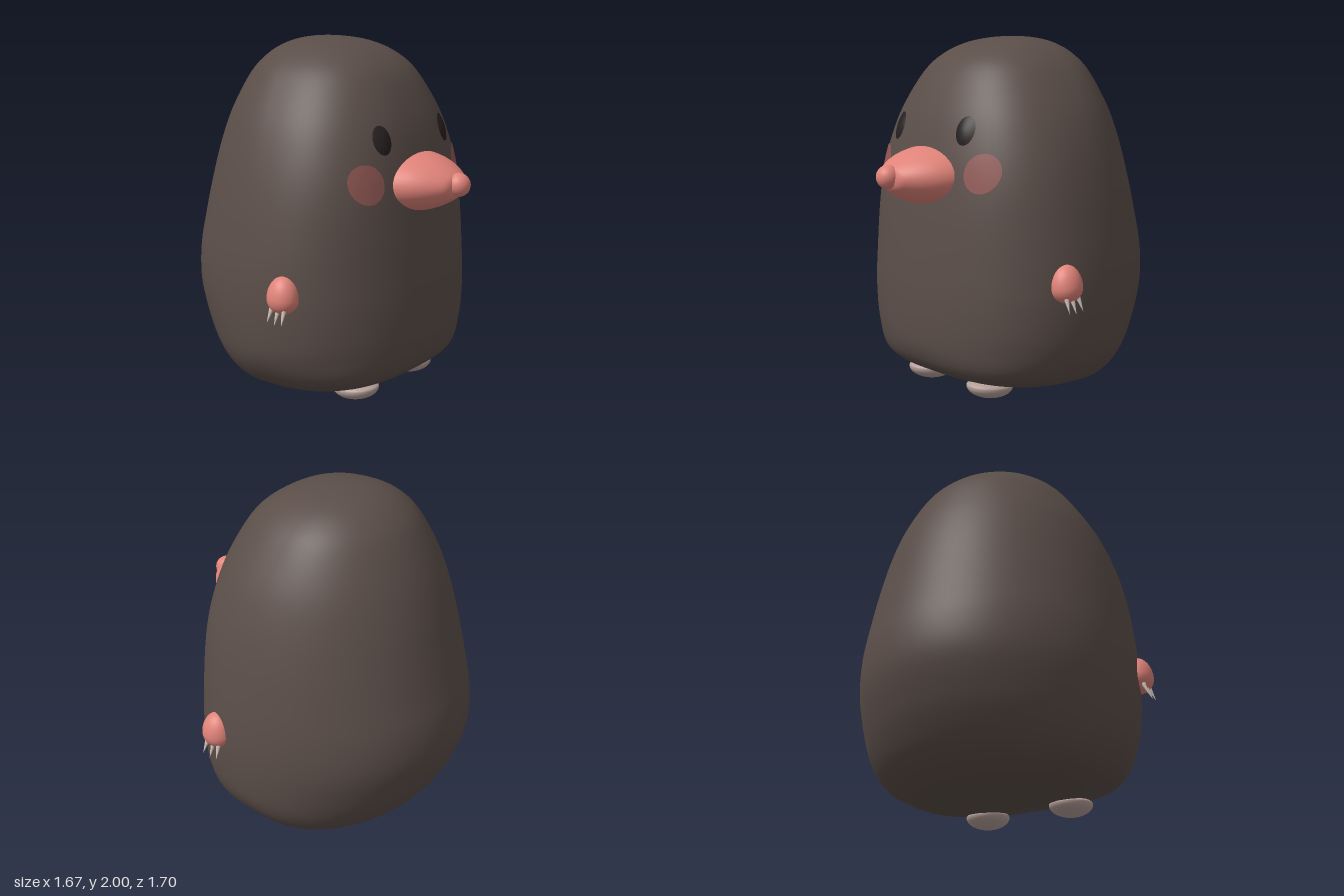
import * as THREE from 'three';

const mat = (name, color) => {
  const m = new THREE.MeshStandardMaterial({ color });
  m.name = name;
  return m;
};

// Body levels from crown to base: height, half width, front z, back z
const LEVELS = [
  [2.0, 0, -0.1, -0.1],
  [1.99, 0.135, 0.04, -0.23],
  [1.96, 0.255, 0.165, -0.33],
  [1.9, 0.365, 0.285, -0.425],
  [1.8, 0.467, 0.385, -0.515],
  [1.6, 0.59, 0.487, -0.622],
  [1.4, 0.668, 0.547, -0.697],
  [1.2, 0.72, 0.583, -0.752],
  [1.0, 0.755, 0.61, -0.8],
  [0.8, 0.78, 0.63, -0.843],
  [0.6, 0.787, 0.643, -0.841],
  [0.4, 0.77, 0.64, -0.77],
  [0.28, 0.738, 0.622, -0.703],
  [0.18, 0.675, 0.565, -0.628],
  [0.11, 0.6, 0.44, -0.54],
  [0.062, 0.49, 0.19, -0.43],
];
const SPANS = LEVELS.length - 1;

// Smooth interpolation of the levels; the crown is mirrored so it stays round
function levelAt(t) {
  const i = Math.min(Math.floor(t), SPANS - 1), f = t - i;
  const get = (k) => (k < 0 ? [1.99, -0.135, -0.23, 0.04] : LEVELS[Math.min(k, SPANS)]);
  const [p, q, r, s] = [get(i - 1), get(i), get(i + 1), get(i + 2)];
  const [y, w, zf, zb] = q.map((_, k) => q[k] + 0.5 * f * (r[k] - p[k]
    + f * (2 * p[k] - 5 * q[k] + 4 * r[k] - s[k] + f * (3 * (q[k] - r[k]) + s[k] - p[k]))));
  const step = THREE.MathUtils.smoothstep;
  const zc = -0.1 * (step(y, 1.2, 2.0) + 1 - step(y, 0.06, 0.4));
  const n = 2.2 + 0.25 * step(y, 0.7, 1.3) + 0.7 * (1 - step(y, 0.06, 0.35));
  return { y, w: Math.max(w, 0), zf, zb, zc, n };
}

// Front surface depth of the body at (x, y)
function frontZ(x, y) {
  let lo = 0, hi = SPANS;
  for (let k = 0; k < 30; k++) {
    const mid = (lo + hi) / 2;
    if (levelAt(mid).y > y) lo = mid; else hi = mid;
  }
  const { w, zf, zc, n } = levelAt(lo);
  return zc + (zf - zc) * Math.pow(Math.max(0, 1 - Math.pow(Math.abs(x) / w, n)), 1 / n);
}

function bodyGeometry() {
  const seg = 80, rings = SPANS * 4, pos = [], idx = [];
  const pw = (v, e) => Math.sign(v) * Math.pow(Math.abs(v), e);
  for (let i = 0; i <= rings + 1; i++) {
    const L = levelAt(Math.min(i / 4, SPANS));
    const shrink = i > rings ? 0 : 1; // last ring closes the base
    for (let j = 0; j < seg; j++) {
      const a = (j / seg) * Math.PI * 2, c = Math.cos(a), s = Math.sin(a);
      const e = 2 / (c > 0 ? L.n : 2);
      const depth = c > 0 ? L.zf - L.zc : L.zc - L.zb;
      pos.push(L.w * pw(s, e) * shrink, L.y, L.zc + depth * pw(c, e) * shrink);
    }
  }
  for (let i = 0; i <= rings; i++) {
    for (let j = 0; j < seg; j++) {
      const k = (j + 1) % seg;
      const a = i * seg + j, b = i * seg + k, c = a + seg, d = b + seg;
      idx.push(a, c, b, b, c, d);
    }
  }
  const g = new THREE.BufferGeometry();
  g.setAttribute('position', new THREE.Float32BufferAttribute(pos, 3));
  g.setIndex(idx);
  g.computeVertexNormals();
  return g;
}

// Thin oval laid on the front of the body
function patchGeometry(cx, cy, rx, ry, tilt, bulge) {
  const g = new THREE.RingGeometry(0, 1, 40, 5);
  const p = g.attributes.position;
  for (let i = 0; i < p.count; i++) {
    const u = p.getX(i), v = p.getY(i);
    const dx = u * rx, dy = v * ry;
    const x = cx + dx * Math.cos(tilt) - dy * Math.sin(tilt);
    const y = cy + dx * Math.sin(tilt) + dy * Math.cos(tilt);
    p.setXYZ(i, x, y, frontZ(x, y) + 0.006 + bulge * (1 - u * u - v * v));
  }
  g.computeVertexNormals();
  return g;
}

// Ellipsoid with different heights above and below its middle
function pebbleGeometry(rx, up, down, rz) {
  const g = new THREE.SphereGeometry(1, 32, 24);
  const p = g.attributes.position;
  for (let i = 0; i < p.count; i++) {
    const y = p.getY(i);
    p.setXYZ(i, p.getX(i) * rx, y * (y > 0 ? up : down), p.getZ(i) * rz);
  }
  g.computeVertexNormals();
  return g;
}

export function createModel() {
  const fur = mat('brown fur', 0x5b4e49);
  const pink = mat('pink skin', 0xe08379);
  const blush = mat('blush', 0x8f5753);
  const black = mat('eye black', 0x272020);
  const sole = mat('foot grey', 0xb59f99);
  const claw = mat('claw', 0xcbbcb5);

  const model = new THREE.Group();
  model.name = 'mole';
  const add = (name, geo, material, parent = model) => {
    const m = new THREE.Mesh(geo, material);
    m.name = name;
    parent.add(m);
    return m;
  };

  add('body', bodyGeometry(), fur);

  // Snout: a rounded cone, wider than tall, with a ball at the tip
  const profile = new THREE.SplineCurve([
    [1, 0], [0.99, 0.045], [0.92, 0.1], [0.825, 0.15], [0.69, 0.2], [0.51, 0.25], [0.33, 0.283], [0, 0.3],
  ].map(([r, h]) => new THREE.Vector2(r, h))).getPoints(28);
  profile.forEach((p) => { p.x = Math.max(p.x, 0); });
  const snout = new THREE.LatheGeometry(profile, 48);
  snout.rotateX(Math.PI / 2);
  snout.scale(0.275, 0.163, 1);
  add('snout', snout, pink).position.set(0, 1.243, 0.5);
  add('noseTip', new THREE.SphereGeometry(0.065, 32, 20), pink).position.set(0, 1.253, 0.79);

  for (const s of [1, -1]) {
    const side = s > 0 ? 'left' : 'right';
    add(side + 'Eye', patchGeometry(s * 0.288, 1.5, 0.056, 0.077, s * 0.08, 0.014), black);
    add(side + 'Cheek', patchGeometry(s * 0.425, 1.283, 0.096, 0.105, 0, 0), blush);

    // Hand with three claws
    const hand = new THREE.Group();
    hand.name = side + 'Hand';
    model.add(hand);
    const palm = add('palm', pebbleGeometry(0.083, 0.122, 0.085, 0.091), pink, hand);
    palm.position.set(s * 0.752, 0.69, 0.19);
    palm.rotation.z = s * 0.08;
    for (const k of [-1, 0, 1]) {
      const c = add('claw', new THREE.ConeGeometry(0.017, 0.1, 12), claw, hand);
      c.position.set(s * 0.808, k ? 0.61 : 0.602, 0.19 + k * 0.045);
      c.rotation.set(-k * 0.1, 0, Math.PI + s * 0.42);
    }

    const foot = add(side + 'Foot', pebbleGeometry(0.12, 0.034, 0.068, 0.138), sole);
    foot.position.set(s * 0.265, 0.071, 0.305);
    foot.rotation.x = -0.1;
  }
  return model;
}
